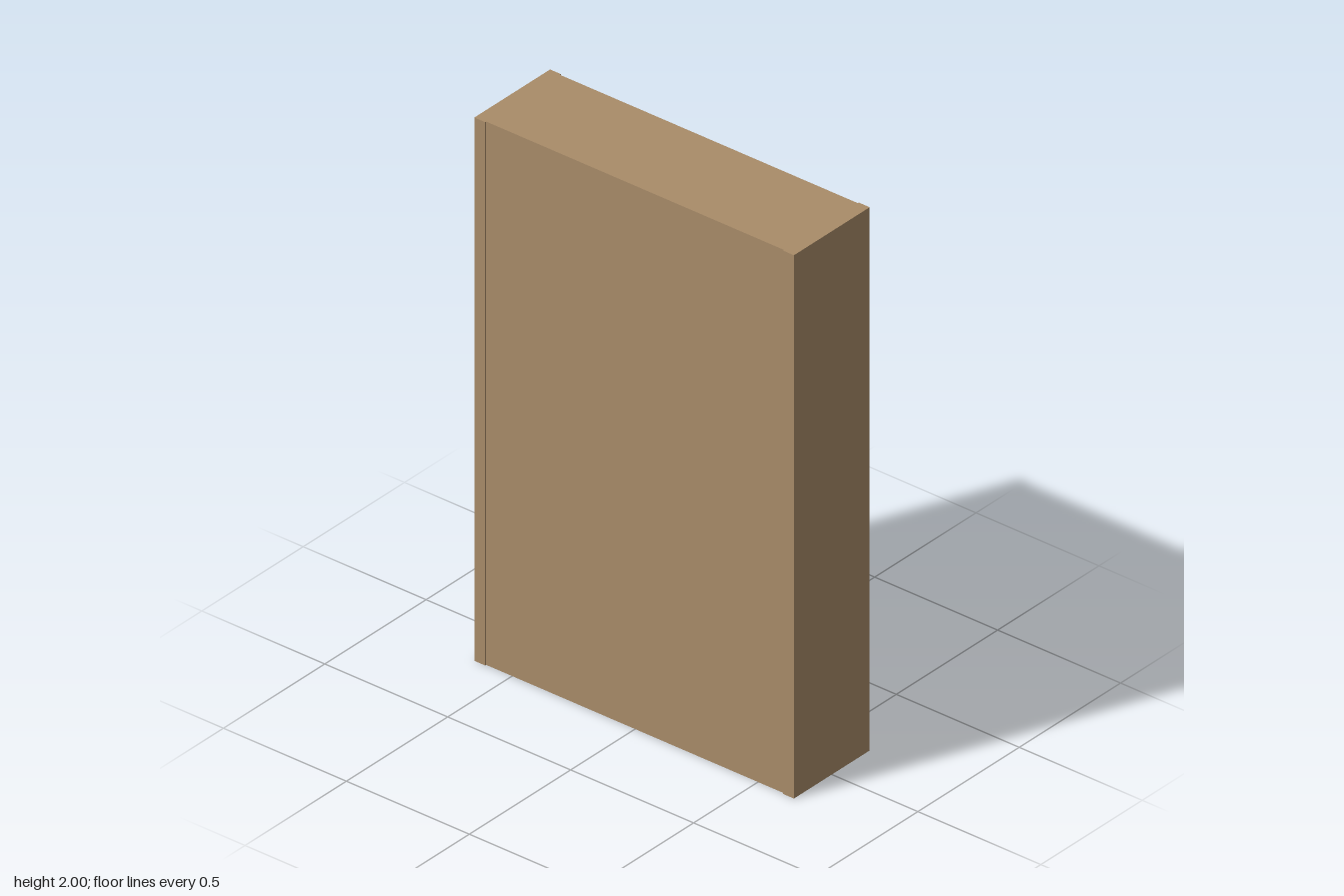
import * as THREE from 'three';

export function createModel() {
  const group = new THREE.Group();
  group.name = 'bookcase';
  const wood = new THREE.MeshStandardMaterial({ color: 0xa98c69 });

  // Box given by its minimum and maximum corners
  const addBoard = (name, [x0, y0, z0], [x1, y1, z1]) => {
    const mesh = new THREE.Mesh(new THREE.BoxGeometry(x1 - x0, y1 - y0, z1 - z0), wood);
    mesh.position.set((x0 + x1) / 2, (y0 + y1) / 2, (z0 + z1) / 2);
    mesh.name = name;
    group.add(mesh);
  };

  const height = 2, outerZ = 0.65, innerZ = 0.606;
  const sideX = 0.187, innerX = 0.182, backFace = -0.135, thickness = 0.048;

  // Side panels, standing slightly proud of the shelves and back
  addBoard('leftSidePanel', [-sideX, 0, innerZ], [sideX, height, outerZ]);
  addBoard('rightSidePanel', [-sideX, 0, -outerZ], [sideX, height, -innerZ]);

  // Back panel, down to the ground; the open side faces +x
  addBoard('backPanel', [-innerX, 0, -innerZ], [backFace, height, innerZ]);

  // Shelves, with spacing growing towards the top
  [0.066, 0.404, 0.775, 1.14, 1.538].forEach((y, i) => {
    addBoard(`shelf${i + 1}`, [backFace, y, -innerZ], [innerX, y + thickness, innerZ]);
  });

  // Top board
  addBoard('topBoard', [backFace, 1.956, -innerZ], [innerX, height, innerZ]);

  return group;
}
